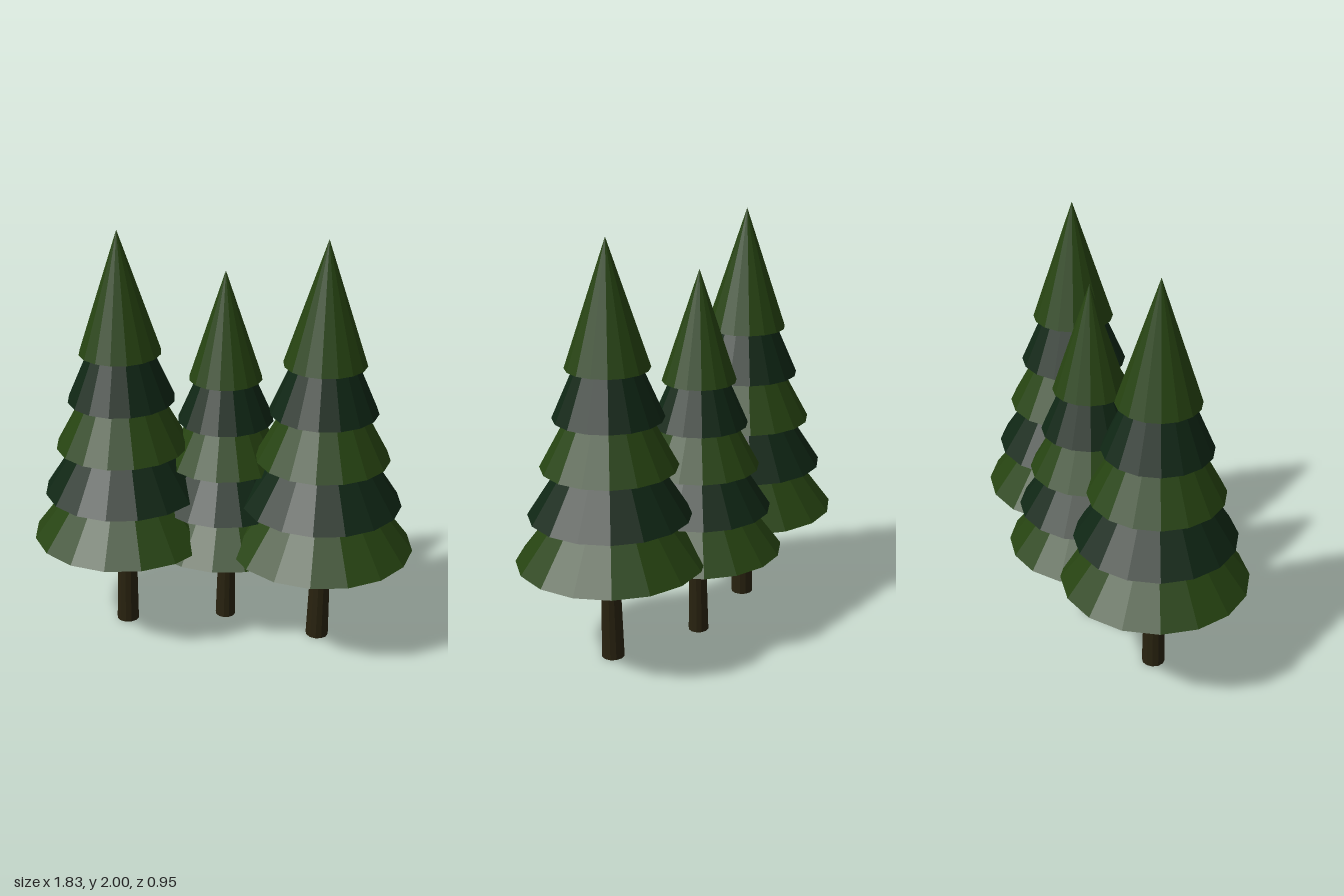
import * as THREE from 'three';

const SIDES = 16;
const TIER_STEP = 0.23;
const TIER_HEIGHT = 0.58;
const TIER_RADII = [0.44, 0.378, 0.316, 0.254, 0.193];

function mat(name, color) {
  const m = new THREE.MeshStandardMaterial({ color, flatShading: true });
  m.name = name;
  return m;
}

export function createModel() {
  const lightGreen = mat('lightGreenNeedles', 0x264311);
  const darkGreen = mat('darkGreenNeedles', 0x0f2614);
  const bark = mat('darkBark', 0x28220f);

  function makeTree(name, x, z, scale) {
    const tree = new THREE.Group();
    tree.name = name;

    // Slightly leaning, tapered trunk reaching into the lowest tier
    const trunk = new THREE.Mesh(new THREE.CylinderGeometry(0.043, 0.055, 0.56, 12), bark);
    trunk.name = 'trunk';
    trunk.position.set(0.004, 0.281, 0);
    trunk.rotation.z = -0.02;
    tree.add(trunk);

    // Stacked cones of needles in alternating greens
    TIER_RADII.forEach((radius, i) => {
      const tier = new THREE.Mesh(
        new THREE.ConeGeometry(radius, TIER_HEIGHT, SIDES),
        i % 2 ? darkGreen : lightGreen
      );
      tier.name = `needleTier${i + 1}`;
      tier.position.y = 0.5 + i * TIER_STEP + TIER_HEIGHT / 2;
      tree.add(tier);
    });

    tree.position.set(x, 0, z);
    tree.scale.setScalar(scale);
    return tree;
  }

  const group = new THREE.Group();
  group.name = 'pineTrees';
  group.add(
    makeTree('leftTree', 0.477, 0.035, 1),
    makeTree('rightTree', -0.477, 0.035, 1),
    makeTree('middleTree', 0, -0.083, 0.9)
  );
  return group;
}
